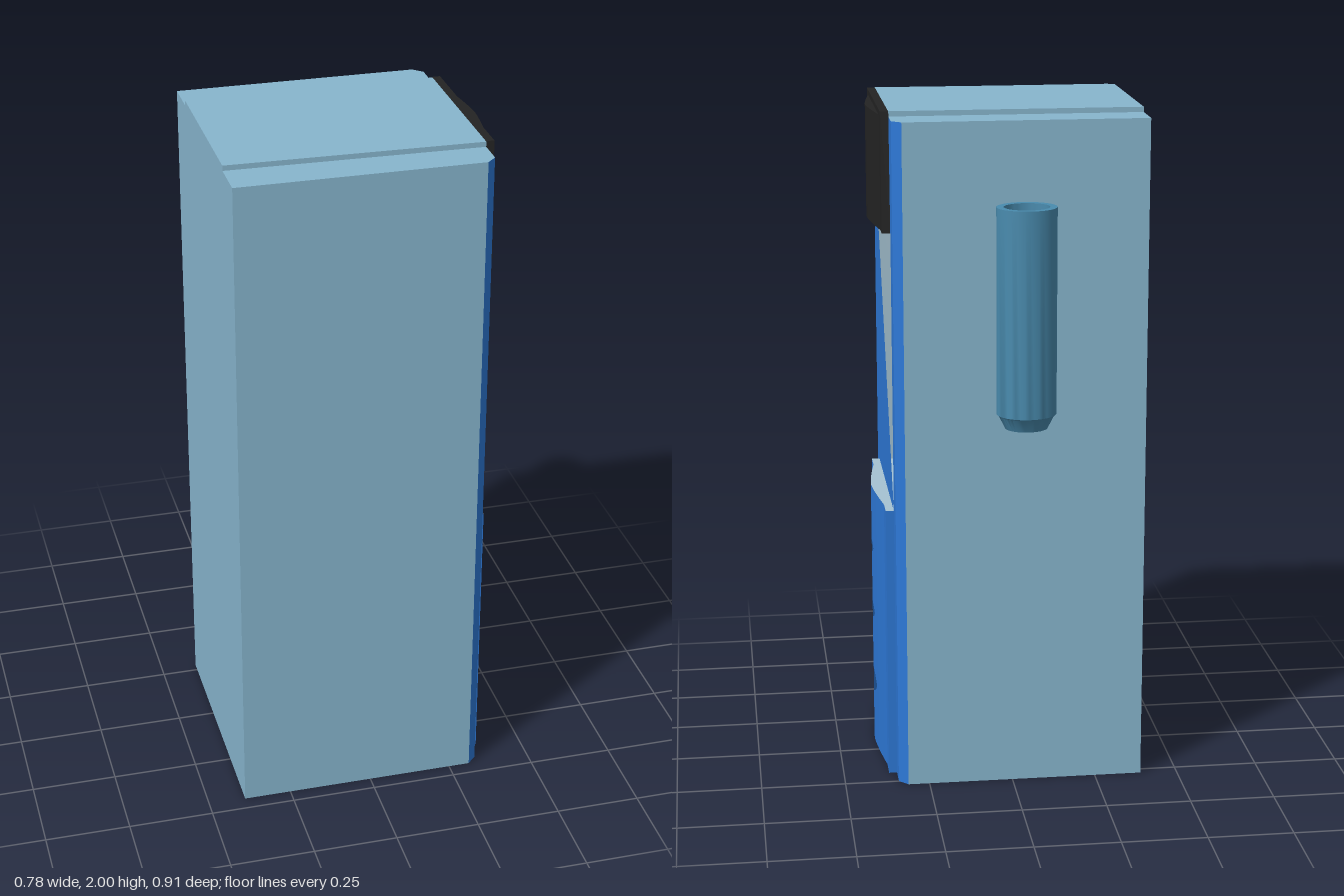
import * as THREE from 'three';
import { toCreasedNormals } from 'three/addons/utils/BufferGeometryUtils.js';

const mat = (name, color) => new THREE.MeshStandardMaterial({ name, color, side: THREE.DoubleSide });

// Flat-faced geometry from a list of four-cornered faces
function quads(list) {
  const pos = [];
  for (const [a, b, c, d] of list) pos.push(...a, ...b, ...c, ...a, ...c, ...d);
  const g = new THREE.BufferGeometry();
  g.setAttribute('position', new THREE.Float32BufferAttribute(pos, 3));
  g.computeVertexNormals();
  return g;
}

// Vertical wall following a line of [x, z] points
const ribbon = (pts, y0, y1) => quads(pts.slice(1).map(([x, z], i) => {
  const [px, pz] = pts[i];
  return [[px, y0, pz], [x, y0, z], [x, y1, z], [px, y1, pz]];
}));

// Horizontal outline of [x, z] points, flat or with thickness
const outline = (pts) => new THREE.Shape(pts.map(([x, z]) => new THREE.Vector2(x, -z)));
const sheet = (pts, y) => new THREE.ShapeGeometry(outline(pts)).rotateX(-Math.PI / 2).translate(0, y, 0);
const slab = (pts, y0, y1) => new THREE.ExtrudeGeometry(outline(pts), { depth: y1 - y0, bevelEnabled: false })
  .rotateX(-Math.PI / 2).translate(0, y0, 0);

const MID = 0.09; // centre line of the bowed front parts
const bow = (z) => 0.364 + 0.023 * Math.max(0, 1 - Math.pow(Math.abs(z - MID) / 0.21, 1.4));

export function createModel() {
  const root = new THREE.Group();
  const body = mat('cabinetBlueGrey', 0x87b5cd);
  const blue = mat('frontBlue', 0x2d78d6);
  const pale = mat('nichePaleBlue', 0xa5c2d2);
  const black = mat('hoodBlack', 0x232323);
  const teal = mat('tubeTeal', 0x498bae);
  const purple = mat('bracketPurple', 0x4d0f85);
  const grey = mat('tapGrey', 0xd4d2d2);
  const add = (name, geo, m, parent = root) => {
    const mesh = new THREE.Mesh(geo, m);
    mesh.name = name;
    parent.add(mesh);
    return mesh;
  };

  // Cabinet shell
  const X0 = -0.39, XC = 0.313, X1 = 0.34, Z0 = -0.277, Z1 = 0.455, C = 0.027, H = 1.985;
  const foot = [[XC, Z1], [X1, Z1 - C], [X1, Z0 + C], [XC, Z0], [X0, Z0], [X0, Z1]];
  add('cabinetWalls', ribbon([[XC, Z0], [X0, Z0], [X0, Z1], [XC, Z1]], 0, H), body);
  add('cabinetTop', sheet(foot, H), body);
  add('cabinetBottom', sheet([...foot].reverse(), 0), body);
  add('raisedLid', slab([[X0, 0.335], [X1, 0.35], [X1, -0.16], [X0, -0.16]], H, 2), body);
  add('chamferLeft', ribbon([[XC, Z1], [X1, Z1 - C]], 0, H), blue);
  add('chamferRight', ribbon([[X1, Z0 + C], [XC, Z0]], 0, H), blue);

  // Front face with slanted opening
  const v = (z, y) => new THREE.Vector2(-z, y);
  const face = new THREE.Shape([v(Z1 - C, 0), v(Z0 + C, 0), v(Z0 + C, H), v(Z1 - C, H)]);
  face.holes.push(new THREE.Path([v(0.31, 1.655), v(-0.185, 1.655), v(-0.185, 0.83)]));
  add('frontFace', new THREE.ShapeGeometry(face).rotateY(Math.PI / 2).translate(X1, 0, 0), blue);

  // Serving niche
  const XB = 0.16, N0 = -0.185, N1 = 0.362, NY = 0.83, NT = 1.655;
  const niche = [[X1, N1], [XB, N1], [XB, N0], [X1, N0]];
  add('nicheWalls', ribbon([...niche].reverse(), NY, NT), pale);
  add('nicheFloor', sheet(niche, NY), pale);
  add('nicheCeiling', sheet([...niche].reverse(), NT), pale);

  // Two taps with push levers
  for (const z of [-0.027, 0.207]) {
    const tap = new THREE.Group();
    tap.name = 'tap';
    tap.position.set(0.24, 0, z);
    root.add(tap);
    const cyl = (name, rt, rb, y0, y1) => add(name, toCreasedNormals(
      new THREE.CylinderGeometry(rt, rb, y1 - y0, 20).translate(0, (y0 + y1) / 2, 0), 0.6), grey, tap);
    const box = (name, w, y0, y1, d, x, zz = 0) => add(name,
      new THREE.BoxGeometry(w, y1 - y0, d).translate(x, (y0 + y1) / 2, zz), grey, tap);
    box('tapPlate', 0.08, 1.41, 1.43, 0.12, 0);
    cyl('tapCollar', 0.042, 0.042, 1.39, 1.41);
    cyl('tapBody', 0.036, 0.032, 1.33, 1.39);
    cyl('tapNozzle', 0.022, 0.018, 1.295, 1.33);
    box('tapMount', 0.06, 1.36, 1.4, 0.05, -0.05);
    for (const s of [-1, 1]) box('leverArm', 0.012, 1.275, 1.41, 0.006, -0.03, s * 0.044);
    box('leverPaddle', 0.012, 1.19, 1.28, 0.094, -0.03);
  }

  // Bowed lower panel with three cut-out holes, built column by column
  const holes = [
    { y: 0.2, w: 0.07, h: 0.04 },
    { y: 0.43, w: 0.045, h: 0.025 },
    { y: 0.635, w: 0.033, h: 0.02 },
  ];
  const half = (o, z) => o.h * Math.pow(Math.max(0, 1 - Math.abs(z - MID) / o.w), 0.65);
  const P0 = -0.185, P1 = 0.365;
  const zs = [P0, P1, MID];
  for (const s of [-1, 1]) {
    for (const d of [0.21, 0.17, 0.13, 0.1]) zs.push(MID + s * d);
    for (const o of holes) zs.push(MID + s * o.w, MID + s * o.w * 0.5);
  }
  zs.sort((a, b) => b - a);
  const faces = [];
  for (let i = 1; i < zs.length; i++) {
    const a = zs[i - 1], b = zs[i];
    let lowA = 0, lowB = 0;
    const strip = (ya, yb) => faces.push([[bow(a), lowA, a], [bow(b), lowB, b], [bow(b), yb, b], [bow(a), ya, a]]);
    for (const o of holes) {
      const ha = half(o, a), hb = half(o, b);
      strip(o.y - ha, o.y - hb);
      lowA = o.y + ha;
      lowB = o.y + hb;
    }
    strip(NY, NY);
  }
  add('lowerPanel', quads(faces), blue);
  const edge = zs.map((z) => [bow(z), z]);
  const panelPlan = [[X1, P1], ...edge, [X1, P0]];
  add('panelSideLeft', ribbon([[X1, P1], [bow(P1), P1]], 0, NY), blue);
  add('panelSideRight', ribbon([[bow(P0), P0], [X1, P0]], 0, NY), blue);
  add('panelBottom', sheet([...panelPlan].reverse(), 0), blue);
  add('panelLedge', sheet(panelPlan, NY), pale);
  add('holeBacking', ribbon([[0.35, 0.18], [0.35, 0]], 0.12, 0.7), grey);

  // Black hood, narrowing towards the top
  const taper = (g) => {
    const p = g.attributes.position;
    for (let i = 0; i < p.count; i++) {
      const k = 1 - 0.06 * (p.getY(i) - 1.655) / 0.345;
      p.setZ(i, MID + (p.getZ(i) - MID) * k);
    }
    g.computeVertexNormals();
    return g;
  };
  add('hoodPlate', taper(slab([[X1, 0.363], [0.364, 0.363], [0.364, -0.181], [X1, -0.181]], 1.655, 2)), black);
  const arc = zs.filter((z) => Math.abs(z - MID) < 0.211).map((z) => [bow(z) + 0.001, z]);
  add('hoodBulge', taper(slab([[0.36, MID + 0.21], ...arc, [0.36, MID - 0.21]], 1.655, 1.985)), black);

  // Cup tube on the side, slightly oval and open through
  const profile = [[0.041, 1.125], [0.053, 1.125], [0.07, 1.163], [0.075, 1.167], [0.075, 1.76],
    [0.057, 1.76], [0.057, 1.18], [0.041, 1.165], [0.041, 1.125]].map(([r, y]) => new THREE.Vector2(r, y));
  const tube = add('cupTube', toCreasedNormals(new THREE.LatheGeometry(profile, 40).scale(1.14, 1, 1), 0.5), teal);
  tube.position.set(-0.025, 0, -0.381);

  // Tube brackets
  for (const y of [1.28, 1.582]) {
    add('tubeBracket', new THREE.BoxGeometry(0.088, 0.088, 0.047).translate(-0.026, y, -0.2985), purple);
  }
  return root;
}
